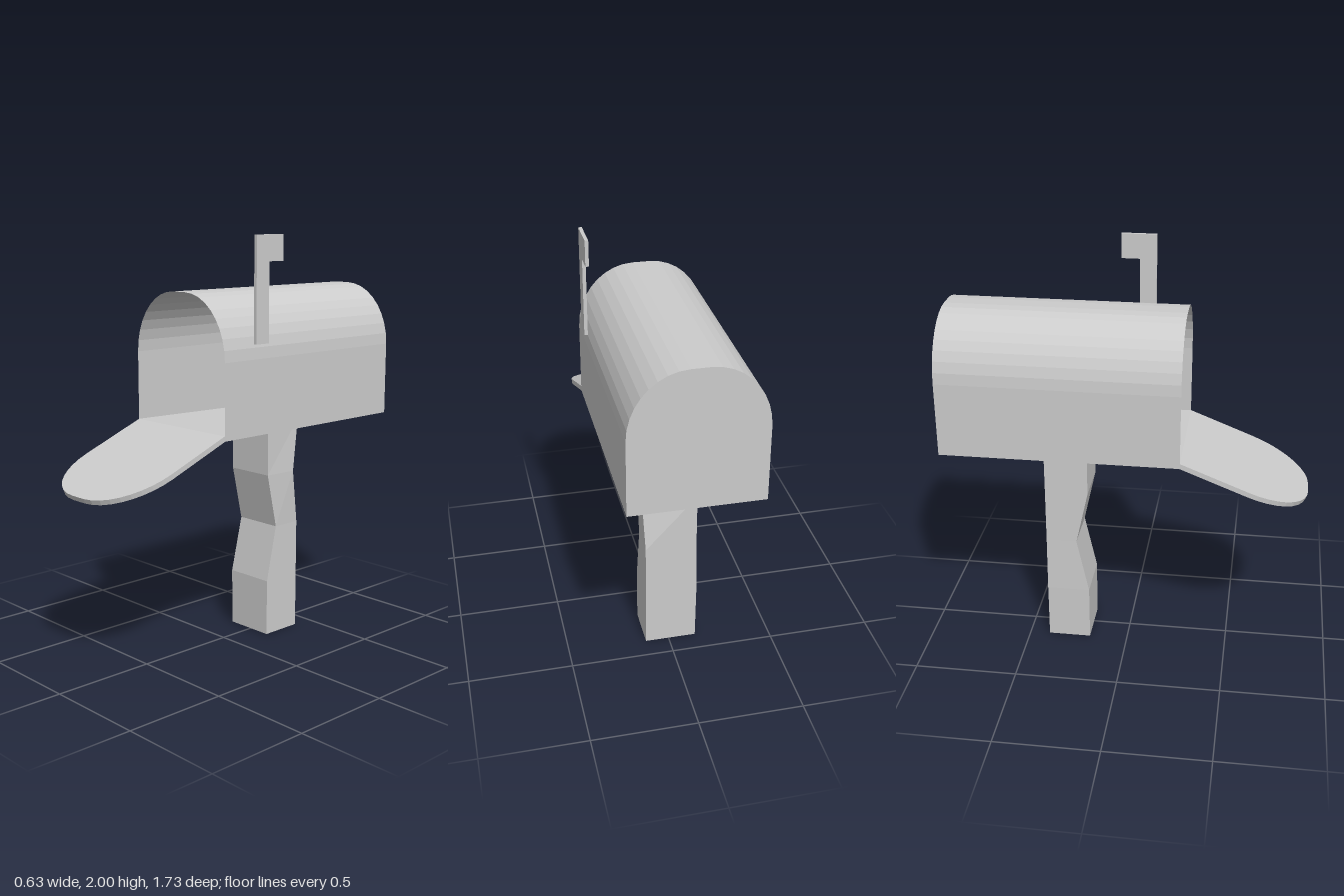
import * as THREE from 'three';

const CX = -0.01, HALF = 0.305;            // centre line and half width of the box
const BOTTOM = 1.085, TOP = 1.74, FRONT = 0.27, BACK = -0.86;

const grey = new THREE.MeshStandardMaterial({ color: 0xcccccc, flatShading: true });
const sheet = new THREE.MeshStandardMaterial({ color: 0xcccccc, flatShading: true, side: THREE.DoubleSide });

// Round-topped outline: straight sides, then a soft arch with a short flat crown
function archShape(base, top) {
  const spring = top - 0.3, flat = 0.04, k = 0.165, kx = 0.187;
  const s = new THREE.Shape();
  s.moveTo(HALF, base);
  s.lineTo(HALF, spring);
  s.bezierCurveTo(HALF, spring + k, kx, top, flat, top);
  s.lineTo(-flat, top);
  s.bezierCurveTo(-kx, top, -HALF, spring + k, -HALF, spring);
  s.lineTo(-HALF, base);
  return s;
}

function addMesh(parent, name, geometry, material) {
  const mesh = new THREE.Mesh(geometry, material);
  mesh.name = name;
  parent.add(mesh);
  return mesh;
}

// Joins rings of [x, y, z] points; closed rings are also capped when asked
function loft(rings, closed) {
  const n = rings[0].length, index = [];
  for (let i = 0; i < rings.length - 1; i++) {
    for (let j = 0; j < (closed ? n : n - 1); j++) {
      const a = i * n + j, b = i * n + (j + 1) % n;
      index.push(a, b, b + n, a, b + n, a + n);
    }
  }
  if (closed) {
    const t = (rings.length - 1) * n;
    for (let j = 1; j < n - 1; j++) index.push(0, j + 1, j, t, t + j, t + j + 1);
  }
  const g = new THREE.BufferGeometry();
  g.setAttribute('position', new THREE.Float32BufferAttribute(rings.flat(2), 3));
  g.setIndex(index);
  const out = g.toNonIndexed();
  out.computeVertexNormals();
  return out;
}

export function createModel() {
  const model = new THREE.Group();
  model.name = 'mailbox';

  // Hollow box, open at the front
  const box = new THREE.Group();
  box.name = 'box';
  box.position.x = CX;
  model.add(box);
  const outline = archShape(BOTTOM, TOP);
  const pts = outline.getPoints(9);
  const ring = z => pts.map(p => [p.x, p.y, z]);
  addMesh(box, 'shell', loft([ring(BACK), ring(FRONT)], false), sheet);
  addMesh(box, 'backPanel', new THREE.ShapeGeometry(outline, 9), sheet).position.z = BACK;

  // Underside, and an inner floor rising slightly to the hinge
  const floor = rise => loft([
    [[-HALF, BOTTOM, BACK], [HALF, BOTTOM, BACK]],
    [[-HALF, BOTTOM + rise, FRONT], [HALF, BOTTOM + rise, FRONT]],
  ], false);
  addMesh(box, 'underside', floor(0), sheet);
  addMesh(box, 'innerFloor', floor(0.025), sheet);

  // Door hanging open
  const door = addMesh(model, 'door', new THREE.ExtrudeGeometry(archShape(0, 0.64),
    { depth: 0.024, bevelEnabled: false, curveSegments: 9 }), grey);
  door.position.set(CX, 1.11, FRONT);
  door.rotation.x = Math.PI / 2 + Math.atan2(0.235, 0.595);

  // Raised flag on the left side
  const flag = new THREE.Shape([
    [0.09, 1.51], [0.09, 2], [-0.08, 2], [-0.08, 1.88], [0.01, 1.88], [0.01, 1.51],
  ].map(([z, y]) => new THREE.Vector2(-z, y)));
  const flagMesh = addMesh(model, 'flag',
    new THREE.ExtrudeGeometry(flag, { depth: 0.016, bevelEnabled: false }), grey);
  flagMesh.rotation.y = Math.PI / 2;
  flagMesh.position.x = 0.295;

  // Crooked post: [y, left x, right x, front z, left back z]
  const sections = [
    [0, 0.115, -0.135, -0.19, -0.4],
    [0.28, 0.115, -0.138, -0.19, -0.4],
    [0.555, 0.115, -0.133, -0.25, -0.4],
    [0.825, 0.115, -0.133, -0.19, -0.36],
    [BOTTOM, 0.115, -0.135, -0.19, -0.4],
  ];
  const post = sections.map(([y, l, r, f, b]) => [
    [l, y, f], [b > -0.4 ? l + 0.01 : l, y, b], [r, y, -0.4], [r, y, f],
  ]);
  addMesh(model, 'post', loft(post, true), grey);

  return model;
}
